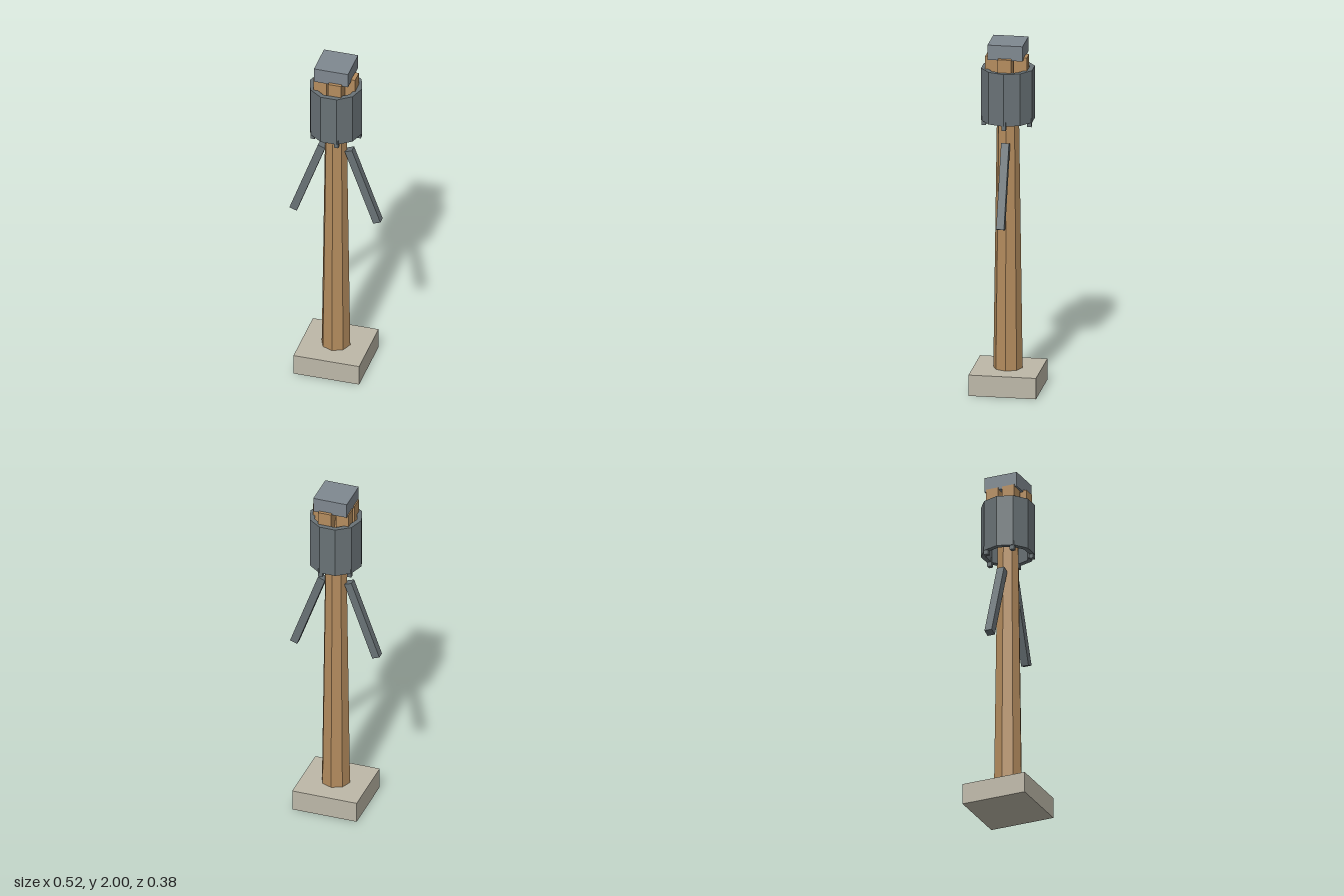
import * as THREE from 'three';

const material = (color) => new THREE.MeshStandardMaterial({ color, flatShading: true });

export function createModel() {
  const model = new THREE.Group();
  const stone = material(0xbdb8a8);
  const wood = material(0xb48c5e);
  const iron = material(0x697276);
  const capGrey = material(0x7f8890);

  const add = (name, geometry, mat, x = 0, y = 0, z = 0) => {
    const mesh = new THREE.Mesh(geometry, mat);
    mesh.name = name;
    mesh.position.set(x, y, z);
    model.add(mesh);
    return mesh;
  };

  // Square footing and tapered octagonal post
  add('base', new THREE.BoxGeometry(0.377, 0.12, 0.377), stone, 0, 0.06, 0);
  add('post', new THREE.CylinderGeometry(0.058, 0.082, 1.73, 8), wood, 0, 0.985, 0);

  // Hollow ten-sided collar, with corners on the x axis
  const collarProfile = [
    [0.15, 1.55], [0.15, 1.85], [0.122, 1.85], [0.122, 1.55], [0.15, 1.55],
  ].map(([r, y]) => new THREE.Vector2(r, y));
  add('collar', new THREE.LatheGeometry(collarProfile, 10), iron).rotation.y = Math.PI / 2;

  // Five wooden blocks above the collar and five small studs below it
  const blockGeometry = new THREE.BoxGeometry(0.075, 0.15, 0.075);
  const studGeometry = new THREE.BoxGeometry(0.025, 0.05, 0.025);
  for (let i = 0; i < 5; i++) {
    const a = (i / 5) * Math.PI * 2;
    const c = Math.cos(a), s = Math.sin(a);
    add('block', blockGeometry, wood, c * 0.083, 1.85, s * 0.083);
    add('stud', studGeometry, iron, c * 0.134, 1.55, s * 0.134);
  }

  // Square cap
  add('cap', new THREE.BoxGeometry(0.196, 0.085, 0.196), capGrey, 0, 1.9575, 0);

  // Two bars slanting down and outwards
  const armGeometry = new THREE.BoxGeometry(0.044, 0.478, 0.044);
  for (const side of [1, -1]) {
    const arm = add(side > 0 ? 'leftArm' : 'rightArm', armGeometry, iron, side * 0.159, 1.207, 0);
    arm.rotation.z = side * 0.349;
  }

  return model;
}
